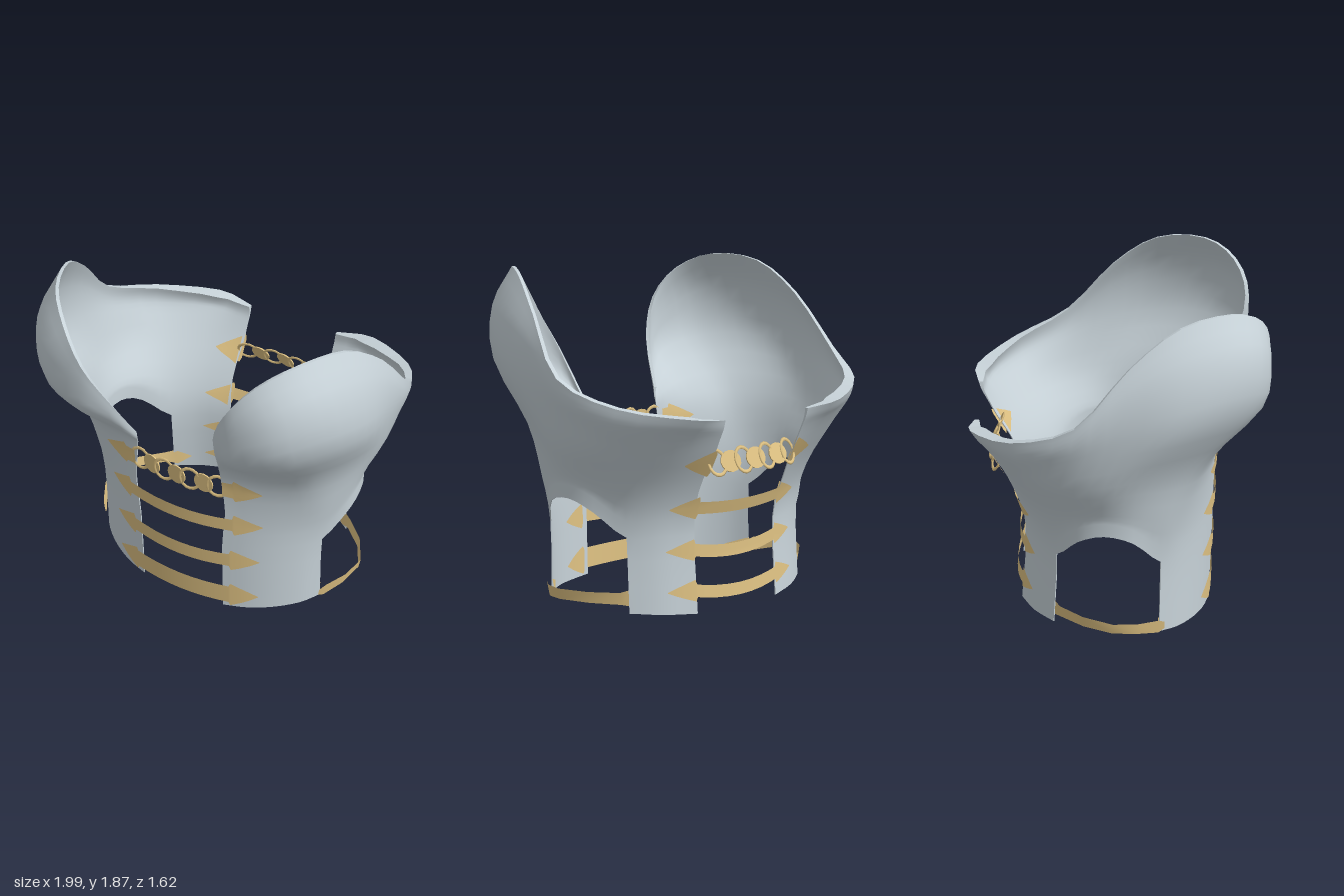
import * as THREE from 'three';

const steel = new THREE.MeshStandardMaterial({ color: 0xc8d3d9, side: THREE.DoubleSide });
steel.name = 'steel grey';
const gold = new THREE.MeshStandardMaterial({ color: 0xdfc283, side: THREE.DoubleSide });
gold.name = 'gold';

// Columns run round the body from the front opening to the back opening.
const ANGLES = [20, 31, 43, 56, 68, 84, 100, 115, 129, 144, 159];
const ARCH_FROM = 4, ARCH_TO = 8;
const SUB = 3;

// Horizontal rings of the bodice, from hem to rim
function ring(a, bFront, bBack, heights) {
  return ANGLES.map((deg, i) => {
    const t = THREE.MathUtils.degToRad(deg);
    const side = i > ARCH_FROM && i < ARCH_TO ? Math.max(a, 0.83) : a;
    return [side * Math.sin(t), heights[i], (Math.cos(t) > 0 ? bFront : bBack) * Math.cos(t)];
  });
}
const HEM = ring(0.79, 0.565, 0.59, [0.002, 0.005, 0.015, 0.025, 0.04, 0.05, 0.05, 0.05, 0.05, 0.04, 0.03]);
const WAIST = ring(0.79, 0.575, 0.555, [0.47, 0.47, 0.47, 0.47, 0.47, 0.63, 0.67, 0.61, 0.47, 0.47, 0.47]);
const RIBS = ring(0.845, 0.575, 0.62, [0.72, 0.72, 0.72, 0.72, 0.74, 0.79, 0.8, 0.77, 0.72, 0.72, 0.72]);
const UNDERBUST = [
  [0.265, 0.97, 0.55], [0.4, 1.0, 0.545], [0.56, 1.02, 0.51], [0.72, 1.03, 0.43], [0.83, 1.03, 0.28], [0.9, 1.03, 0.1],
  [0.92, 1.0, -0.1], [0.87, 0.98, -0.33], [0.74, 0.96, -0.5], [0.53, 0.95, -0.63], [0.29, 0.93, -0.69]];
const BUST = [
  [0.258, 1.02, 0.555], [0.34, 1.16, 0.66], [0.48, 1.27, 0.76], [0.71, 1.34, 0.72], [0.89, 1.37, 0.53], [0.985, 1.34, 0.27],
  [0.985, 1.29, 0], [0.95, 1.17, -0.28], [0.82, 1.1, -0.54], [0.55, 1.07, -0.71], [0.29, 1.03, -0.74]];
const UPPER_CUP = [
  [0.258, 1.05, 0.558], [0.33, 1.27, 0.71], [0.455, 1.45, 0.8], [0.68, 1.6, 0.765], [0.855, 1.66, 0.585], [0.96, 1.62, 0.3],
  [0.985, 1.5, 0.01], [0.98, 1.27, -0.265], [0.845, 1.17, -0.56], [0.54, 1.12, -0.76], [0.29, 1.09, -0.77]];
const RIM = [
  [0.26, 1.08, 0.56], [0.32, 1.36, 0.72], [0.43, 1.6, 0.8], [0.57, 1.78, 0.74], [0.73, 1.87, 0.57], [0.86, 1.84, 0.29],
  [0.94, 1.66, 0.03], [0.985, 1.36, -0.25], [0.84, 1.23, -0.58], [0.52, 1.17, -0.8], [0.29, 1.14, -0.785]];
const RIM_THICKNESS = [0.01, 0.015, 0.015, 0.015, 0.015, 0.015, 0.015, 0.02, 0.05, 0.095, 0.02];

function spline(points, segments) {
  const curve = new THREE.CatmullRomCurve3(points, false, 'catmullrom', 0.5);
  return Array.from({ length: segments + 1 }, (_, i) => curve.getPoint(i / segments));
}

function geometryFrom(positions, index) {
  const g = new THREE.BufferGeometry();
  g.setAttribute('position', new THREE.Float32BufferAttribute(positions, 3));
  g.setIndex(index);
  g.computeVertexNormals();
  return g;
}

const quad = (a, b, c, d) => [a, b, c, a, c, d];

// One half of the bodice: outer skin, inner skin and the walls joining their edges
function bodiceHalf(side) {
  const nets = [HEM, WAIST, RIBS, UNDERBUST, BUST, UPPER_CUP, RIM];
  const cols = (ANGLES.length - 1) * SUB, rows = (nets.length - 1) * SUB;
  const rings = nets.map(n => spline(n.map(([x, y, z]) => new THREE.Vector3(x * side, y, z)), cols));
  const columns = rings[0].map((_, i) => spline(rings.map(r => r[i]), rows));
  const outer = [], faces = [];
  const id = (i, j) => i * (rows + 1) + j;
  columns.forEach(c => c.forEach(p => outer.push(p.x, p.y, p.z)));
  for (let i = 0; i < cols; i++) {
    for (let j = 0; j < rows; j++) {
      if (j < SUB && i >= ARCH_FROM * SUB && i < ARCH_TO * SUB) continue; // side arch
      const f = [id(i, j), id(i + 1, j), id(i + 1, j + 1), id(i, j + 1)];
      faces.push(side > 0 ? f : f.reverse());
    }
  }
  const skin = geometryFrom(outer, faces.flatMap(f => quad(...f)));
  const normal = skin.attributes.normal;
  const inner = [];
  for (let i = 0; i <= cols; i++) {
    const k = Math.min(Math.floor(i / SUB), ANGLES.length - 2);
    const rim = THREE.MathUtils.lerp(RIM_THICKNESS[k], RIM_THICKNESS[k + 1], i / SUB - k);
    for (let j = 0; j <= rows; j++) {
      const v = id(i, j), t = 0.006 + rim * (j / rows) ** 4;
      inner.push(outer[v * 3] - normal.getX(v) * t, outer[v * 3 + 1], outer[v * 3 + 2] - normal.getZ(v) * t);
    }
  }
  const count = outer.length / 3;
  const positions = [...outer, ...inner];
  const index = faces.flatMap(([a, b, c, d]) => [...quad(a, b, c, d), ...quad(d + count, c + count, b + count, a + count)]);
  const edges = new Set(faces.flatMap(f => f.map((a, n) => a + '_' + f[(n + 1) % 4])));
  for (const f of faces) {
    f.forEach((a, n) => {
      const b = f[(n + 1) % 4];
      if (edges.has(b + '_' + a)) return;
      const s = positions.length / 3;
      for (const v of [b, a, a + count, b + count]) positions.push(...positions.slice(v * 3, v * 3 + 3));
      index.push(...quad(s, s + 1, s + 2, s + 3));
    });
  }
  const mesh = new THREE.Mesh(geometryFrom(positions, index), steel);
  mesh.name = side > 0 ? 'leftBodice' : 'rightBodice';
  return mesh;
}

// Thin ribbon through a list of cross lines
function ribbon(name, lines) {
  const w = lines[0].length, index = [];
  for (let i = 0; i < lines.length - 1; i++) {
    for (let j = 0; j < w - 1; j++) index.push(...quad(i * w + j, (i + 1) * w + j, (i + 1) * w + j + 1, i * w + j + 1));
  }
  const mesh = new THREE.Mesh(geometryFrom(lines.flat(2), index), gold);
  mesh.name = name;
  return mesh;
}

export function createModel() {
  const model = new THREE.Group();
  const halves = [bodiceHalf(1), bodiceHalf(-1)];
  model.add(...halves);

  // Depth just outside (or inside) the bodice, bridging the openings with a shallow arc
  const ray = new THREE.Raycaster();
  function depth(x, y, face, inside) {
    const px = Math.max(Math.abs(x), 0.31);
    ray.set(new THREE.Vector3(px, y, 3 * face), new THREE.Vector3(0, 0, -face));
    const hits = ray.intersectObject(halves[0]);
    const first = hits[0] ? hits[0].point.z : face * 0.53;
    if (inside) {
      const back = hits.find(h => h.distance > hits[0].distance + 0.003);
      return (back ? back.point.z : first) - face * 0.008;
    }
    const bow = Math.abs(x) < 0.31 ? 0.035 * (1 - (x / 0.31) ** 2) : 0;
    return first + face * (0.01 + bow);
  }
  const line = (x, y, half, face, inside) =>
    [-1, -0.5, 0, 0.5, 1].map(k => [x, y + k * half, depth(x, y + k * half, face, inside)]);

  // Arrowhead outline from tip to neck, as x and half height
  const head = (tip, half, wing) =>
    [[tip, 0.002], [tip - 0.05, wing * 0.4], [tip - 0.1, wing * 0.72], [tip - 0.15, wing], [tip - 0.16, half]];
  function innerHeads(parent, y, outline, face) {
    for (const s of [-1, 1]) {
      parent.add(ribbon('innerArrowhead', outline.map(([x, h]) => line(s * Math.max(x, 0.3), y, h, face, true))));
    }
  }

  // Straps with an arrowhead at each end, sagging a little across the opening
  function strap(name, y, half, wing, tip, face, sag) {
    const end = head(tip, half, wing);
    const middle = [0.24, 0.16, 0.08, 0, -0.08, -0.16, -0.24].map(x => [x, half]);
    const stations = [...end, ...middle, ...end.map(([x, h]) => [-x, h]).reverse()];
    const drop = x => sag * Math.max(0, 1 - (x / 0.29) ** 2);
    const group = new THREE.Group();
    group.name = name;
    group.add(ribbon('strapBand', stations.map(([x, h]) => line(x, y - drop(x), h, face))));
    innerHeads(group, y, end, face);
    model.add(group);
  }
  strap('frontLowerStrap', 0.1, 0.062, 0.085, 0.465, 1, 0.005);
  strap('frontMiddleStrap', 0.37, 0.045, 0.075, 0.47, 1, 0.015);
  strap('frontUpperStrap', 0.638, 0.042, 0.075, 0.49, 1, 0.01);
  strap('backLowerStrap', 0.16, 0.035, 0.06, 0.44, -1, 0.03);
  strap('backMiddleStrap', 0.385, 0.035, 0.06, 0.44, -1, 0.03);
  strap('backUpperStrap', 0.625, 0.035, 0.065, 0.44, -1, 0.015);

  // Chains of rings and discs, held by arrowheads
  function chain(name, y, tip, face, lean) {
    const group = new THREE.Group();
    group.name = name;
    const end = [...head(tip, 0.055, 0.078), [0.28, 0.05]];
    for (const s of [-1, 1]) group.add(ribbon('chainArrowhead', end.map(([x, h]) => line(s * x, y, h, face))));
    innerHeads(group, y, end, face);
    for (let i = -3; i <= 3; i++) {
      const x = i * 0.083, open = i % 2 !== 0;
      const g = open ? new THREE.TorusGeometry(0.068, 0.011, 5, 16) : new THREE.CylinderGeometry(0.06, 0.06, 0.008, 16);
      if (open) g.scale(0.85, 1, 0.5); else g.rotateX(Math.PI / 2);
      const link = new THREE.Mesh(g, gold);
      link.name = open ? 'chainRing' : 'chainDisc';
      link.position.set(x, y, depth(x, y, face) - face * 0.015);
      link.rotation.set(lean, face * x * 0.6 + (open ? 0.12 : -0.12), 0);
      group.add(link);
    }
    model.add(group);
  }
  chain('frontChain', 0.895, 0.5, 1, 0);
  chain('backChain', 0.89, 0.44, -1, 0.4);

  // Side straps across the arches: x, y, z and half height; the rear end tucks inside
  const path = [[0.738, 0.083, 0.24, 0.022], [0.76, 0.085, 0.205, 0.042], [0.825, 0.11, 0.09, 0.034], [0.855, 0.13, -0.05, 0.031],
    [0.77, 0.132, -0.21, 0.032], [0.645, 0.13, -0.335, 0.035], [0.593, 0.13, -0.365, 0.05], [0.515, 0.13, -0.42, 0.002]];
  const innerTip = [[0.722, 0.085, 0.205, 0.045], [0.635, 0.08, 0.32, 0.002]];
  for (const s of [1, -1]) {
    const across = ([x, y, z, h]) => [[s * (x - h * 0.2), y - h, z], [s * (x + h * 0.2), y + h, z]];
    const group = new THREE.Group();
    group.name = s > 0 ? 'leftSideStrap' : 'rightSideStrap';
    group.add(ribbon('sideBand', path.map(across)), ribbon('innerArrowhead', innerTip.map(across)));
    model.add(group);
  }
  return model;
}
